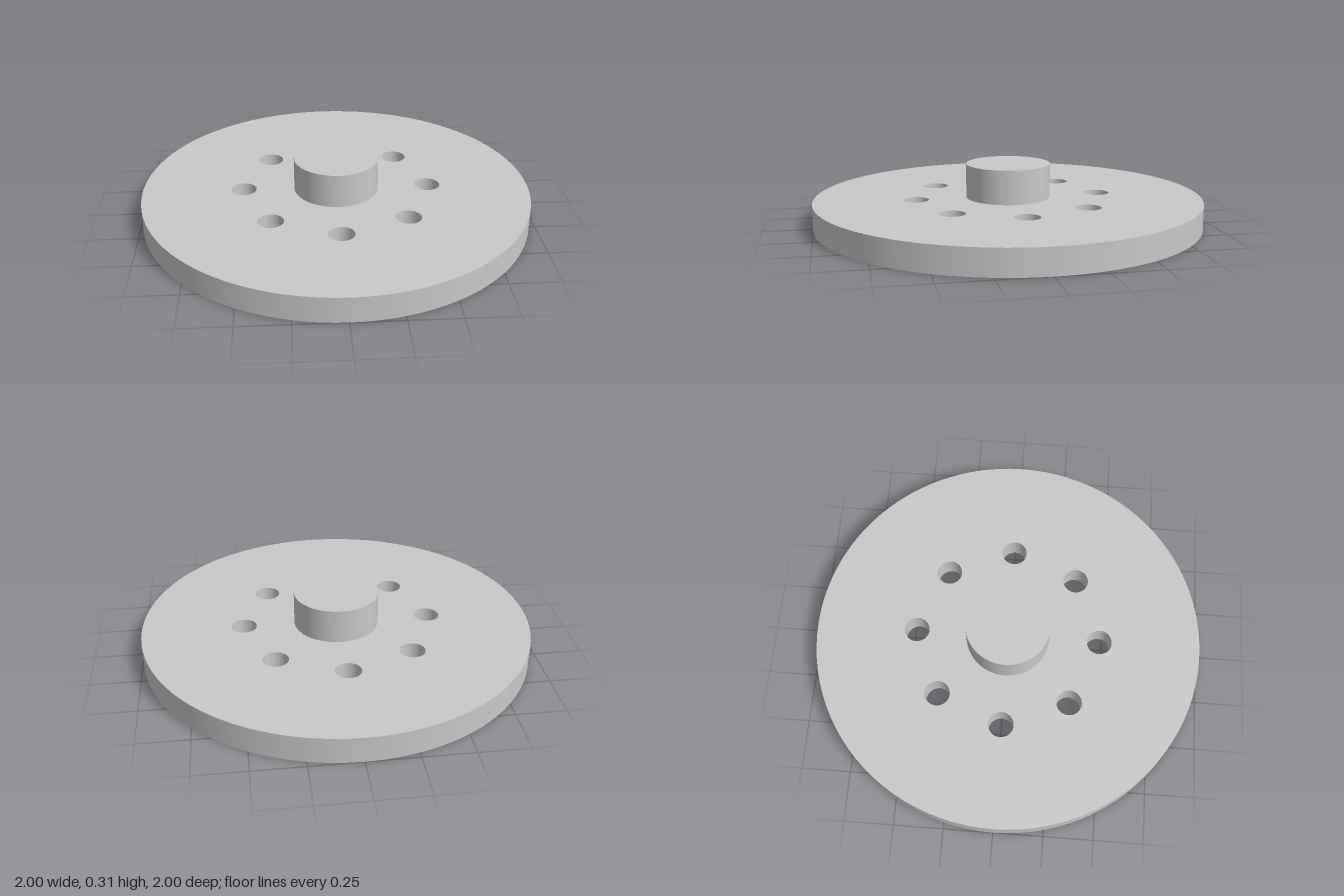
import * as THREE from 'three';

// Main dimensions
const R = 1, THICK = 0.13, TOP = 0.305;
const BOSS_R = 0.217, HOLE_R = 0.065, BOLT_R = 0.478, HOLES = 8;
const GROOVE_IN = 0.75, GROOVE_OUT = 0.825, GROOVE_DEPTH = 0.087;
const SEG = 96;

export function createModel() {
  const model = new THREE.Group();
  model.name = 'flangedDisc';
  const metal = new THREE.MeshStandardMaterial({ color: 0xc8c8c8 });
  metal.name = 'light grey metal';

  const add = (name, geometry, parent = model) => {
    const mesh = new THREE.Mesh(geometry, metal);
    mesh.name = name;
    parent.add(mesh);
    return mesh;
  };

  // Round wall: faces outward when it runs upward, inward when it runs downward
  const wall = (r, yStart, yEnd) =>
    new THREE.LatheGeometry([new THREE.Vector2(r, yStart), new THREE.Vector2(r, yEnd)], SEG);

  // Centres of the bolt holes
  const centres = Array.from({ length: HOLES }, (_, i) => {
    const a = (i / HOLES) * Math.PI * 2;
    return [BOLT_R * Math.cos(a), BOLT_R * Math.sin(a)];
  });

  // Flat round face with an optional central opening and bolt holes
  const face = (r, innerR, drilled, y, up) => {
    const shape = new THREE.Shape().absarc(0, 0, r, 0, Math.PI * 2, false);
    const cut = (x, z, radius) =>
      shape.holes.push(new THREE.Path().absarc(x, z, radius, 0, Math.PI * 2, true));
    if (innerR > 0) cut(0, 0, innerR);
    if (drilled) centres.forEach(([x, z]) => cut(x, z, HOLE_R));
    return new THREE.ShapeGeometry(shape, SEG / 2)
      .rotateX(up ? -Math.PI / 2 : Math.PI / 2)
      .translate(0, y, 0);
  };

  // Disc
  const disc = new THREE.Group();
  disc.name = 'disc';
  model.add(disc);
  add('rim', wall(R, 0, THICK), disc);
  add('topFace', face(R, BOSS_R, true, THICK, true), disc);
  add('bottomOuterFace', face(R, GROOVE_OUT, false, 0, false), disc);
  add('bottomInnerFace', face(GROOVE_IN, 0, true, 0, false), disc);

  // Ring groove in the underside
  const groove = new THREE.Group();
  groove.name = 'grooveUnderneath';
  model.add(groove);
  add('grooveOuterWall', wall(GROOVE_OUT, GROOVE_DEPTH, 0), groove);
  add('grooveInnerWall', wall(GROOVE_IN, 0, GROOVE_DEPTH), groove);
  add('grooveFloor', face(GROOVE_OUT, GROOVE_IN, false, GROOVE_DEPTH, false), groove);

  // Bolt hole walls
  const holeWall = wall(HOLE_R, THICK, 0);
  centres.forEach(([x, z]) => add('boltHole', holeWall).position.set(x, 0, z));

  // Central boss
  const boss = new THREE.Group();
  boss.name = 'centralBoss';
  model.add(boss);
  add('bossWall', wall(BOSS_R, THICK, TOP), boss);
  add('bossTop', face(BOSS_R, 0, false, TOP, true), boss);

  return model;
}
